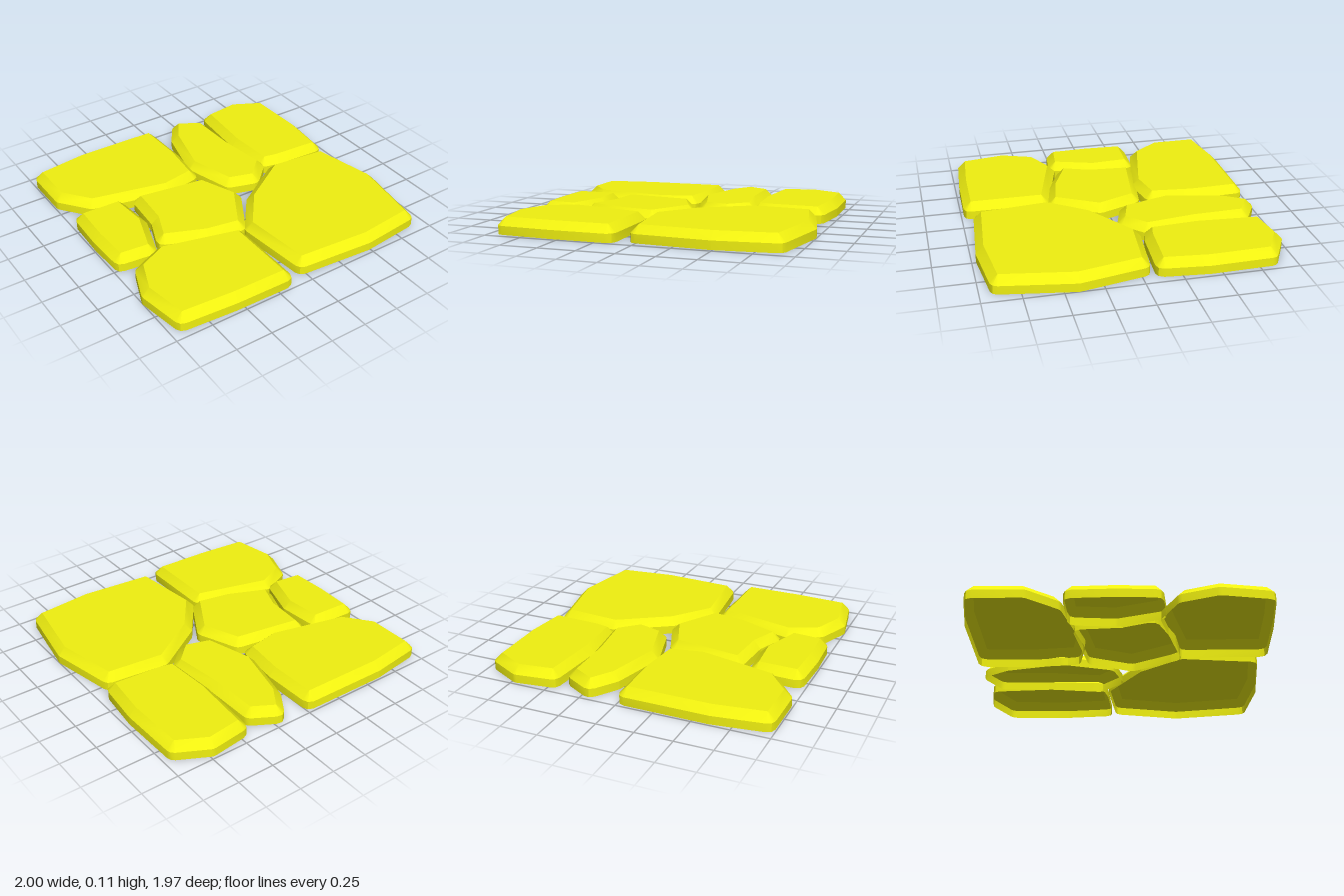
import * as THREE from 'three';
import { toCreasedNormals } from 'three/addons/utils/BufferGeometryUtils.js';

const TOP = 0.11;     // height of the flat top
const RIM = 0.057;    // height where the bevel starts
const BEVEL = 0.052;  // width of the bevel

// Flat top outline of each paving stone as [x, z], clockwise seen from above
const STONES = {
  backLeftStone: [[-.94, -.89], [-.61, -.935], [-.05, -.93], [-.04, -.61], [-.07, -.33], [-.29, -.29], [-.8, -.41], [-.94, -.59]],
  backMiddleStone: [[.21, -.92], [.35, -.84], [.36, -.5], [.405, -.17], [.28, -.05], [.12, -.1], [.03, -.41], [.12, -.78]],
  backRightStone: [[.49, -.9], [.72, -.93], [.91, -.83], [.92, -.43], [.89, -.14], [.57, -.16], [.48, -.18], [.46, -.49]],
  smallSideStone: [[-.93, -.29], [-.67, -.28], [-.65, -.03], [-.74, .24], [-.93, .22], [-.94, -.03]],
  centreStone: [[-.51, -.25], [-.06, -.18], [.04, .07], [-.12, .35], [-.34, .31], [-.6, .2], [-.53, .02]],
  frontLeftStone: [[-.87, .4], [-.68, .31], [-.18, .44], [-.18, .93], [-.55, .925], [-.9, .9], [-.95, .61]],
  frontRightStone: [[.48, -.05], [.86, -.01], [.948, .41], [.87, .88], [.49, .92], [0, .88], [-.05, .42], [.14, .17]],
};

// Hollow stone: flat top, bevel with rounded corners, upright wall, open below
function stoneGeometry(outline) {
  const pts = outline.map(([x, z]) => new THREE.Vector2(x, z));
  const n = pts.length;
  const normals = pts.map((p, i) => {
    const d = pts[(i + 1) % n].clone().sub(p).normalize();
    return new THREE.Vector2(d.y, -d.x);
  });

  // Three rim points round every corner, each remembering its top corner
  const ring = [];
  pts.forEach((p, i) => {
    const a = normals[(i + n - 1) % n], b = normals[i];
    for (const dir of [a, a.clone().add(b).normalize(), b]) {
      ring.push({ top: p, rim: p.clone().addScaledVector(dir, BEVEL) });
    }
  });

  const pos = [];
  const put = (p, y) => pos.push(p.x, y, p.y);

  // Top face
  for (const [a, b, c] of THREE.ShapeUtils.triangulateShape(pts, [])) {
    const turn = pts[b].clone().sub(pts[a]).cross(pts[c].clone().sub(pts[a]));
    for (const k of turn < 0 ? [a, b, c] : [a, c, b]) put(pts[k], TOP);
  }

  // Bevel and wall
  ring.forEach((s, i) => {
    const t = ring[(i + 1) % ring.length];
    put(s.top, TOP); put(t.rim, RIM); put(s.rim, RIM);
    if (s.top !== t.top) { put(s.top, TOP); put(t.top, TOP); put(t.rim, RIM); }
    put(s.rim, RIM); put(t.rim, RIM); put(s.rim, 0);
    put(t.rim, RIM); put(t.rim, 0); put(s.rim, 0);
  });

  const geo = new THREE.BufferGeometry();
  geo.setAttribute('position', new THREE.Float32BufferAttribute(pos, 3));
  return toCreasedNormals(geo, 0.6);
}

export function createModel() {
  const group = new THREE.Group();
  group.name = 'pavingStones';
  const material = new THREE.MeshStandardMaterial({ color: 0xf0f010, side: THREE.DoubleSide });
  for (const [name, outline] of Object.entries(STONES)) {
    const mesh = new THREE.Mesh(stoneGeometry(outline), material);
    mesh.name = name;
    group.add(mesh);
  }
  return group;
}
